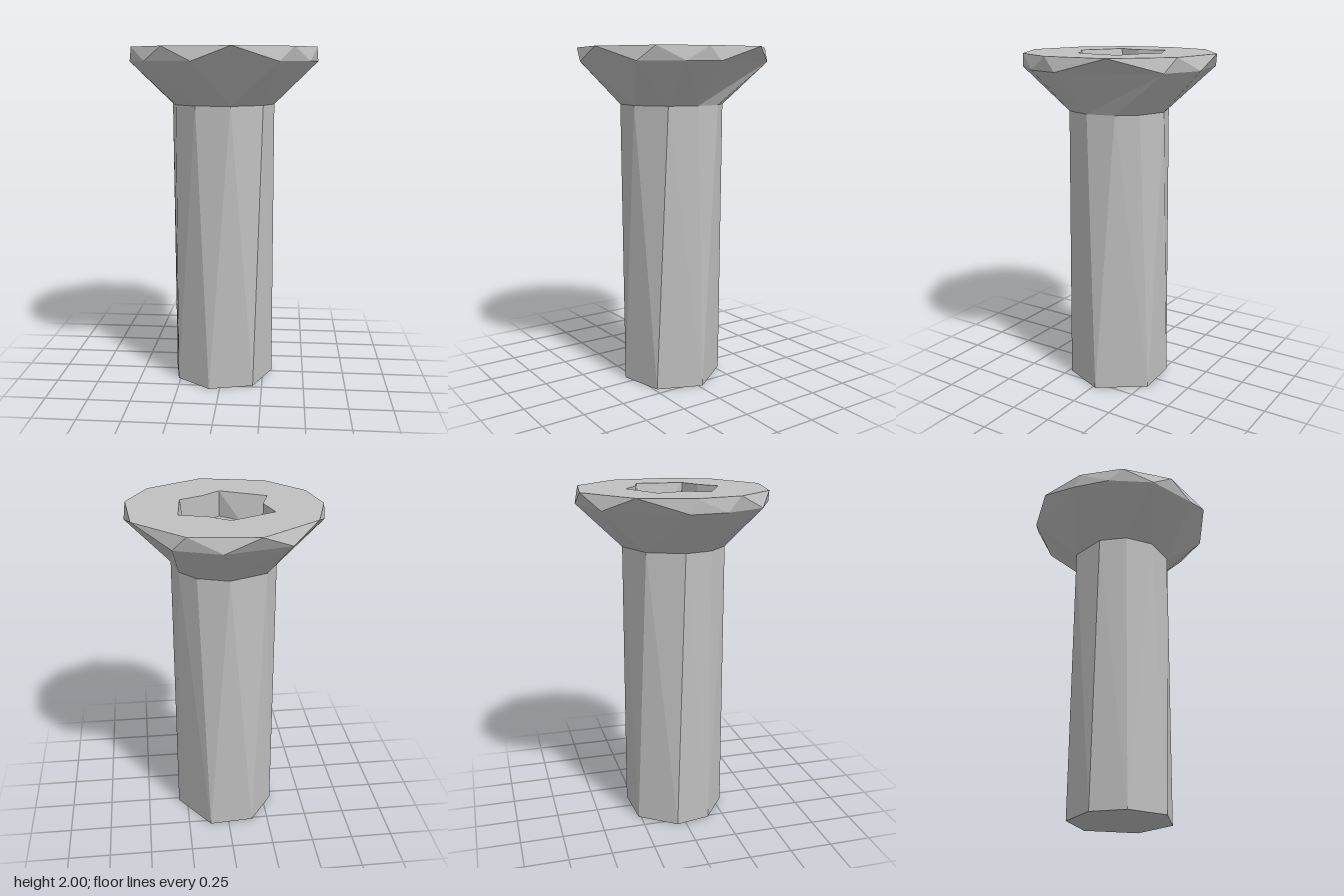
import * as THREE from 'three';

const angle = ([x, z]) => Math.atan2(z, x);
const sorted = (ring) => [...ring].sort((p, q) => angle(p) - angle(q));
const polar = (r, degrees) => degrees.map((d) => {
  const a = THREE.MathUtils.degToRad(d);
  return [r * Math.cos(a), r * Math.sin(a)];
});

// Facets between two rings with different corner counts, zipped by angle
function band(ringA, yA, ringB, yB) {
  const a = sorted(ringA), b = sorted(ringB), pos = [];
  const at = (ring, i, y) => [ring[i % ring.length][0], y, ring[i % ring.length][1]];
  const turn = (ring, i) => angle(ring[i % ring.length]) + (i >= ring.length ? Math.PI * 2 : 0);
  let i = 0, j = 0;
  while (i < a.length || j < b.length) {
    const stepA = j >= b.length || (i < a.length && turn(a, i + 1) <= turn(b, j + 1) + 1e-6);
    pos.push(...at(a, i, yA), ...at(b, j, yB));
    if (stepA) pos.push(...at(a, ++i, yA));
    else pos.push(...at(b, ++j, yB));
  }
  const g = new THREE.BufferGeometry();
  g.setAttribute('position', new THREE.Float32BufferAttribute(pos, 3));
  g.computeVertexNormals();
  return g;
}

// Flat horizontal face, facing up (1) or down (-1), with an optional hole
function cap(ring, y, facing, hole) {
  const points = (r) => r.map(([x, z]) => new THREE.Vector2(x, -z * facing));
  const shape = new THREE.Shape(points(ring));
  if (hole) shape.holes.push(new THREE.Path(points(hole)));
  return new THREE.ShapeGeometry(shape).rotateX(-facing * Math.PI / 2).translate(0, y, 0);
}

export function createModel() {
  const steel = new THREE.MeshStandardMaterial({ color: 0xc0c0c0, flatShading: true });
  steel.name = 'steel';

  const shankBottom = polar(0.305, [-4, 50, 102, 150, 190, 240, 292]);
  const shankTop = polar(0.302, [-28, 4, 37, 78, 117, 150, 182, 225, 270, 305]);
  const headEdge = [[0.06, -0.555], [0.31, -0.47], [0.55, 0.05], [0.5, 0.24], [0.33, 0.44],
    [-0.13, 0.53], [-0.4, 0.39], [-0.525, 0.15], [-0.55, -0.06], [-0.3, -0.47]];
  const headRim = [[-0.13, -0.555], [0.24, -0.51], [0.51, -0.25], [0.54, 0.12], [0.41, 0.37],
    [0.085, 0.55], [-0.295, 0.465], [-0.5, 0.23], [-0.55, -0.03], [-0.46, -0.32]];
  const socketRim = [[-0.01, -0.275], [0.11, -0.195], [0.26, -0.155], [0.237, 0.12], [0.11, 0.18],
    [0, 0.27], [-0.26, 0.145], [-0.215, 0], [-0.26, -0.155]];
  const socketBase = [[-0.01, -0.275], [0.11, -0.195], [0.225, -0.15], [0.215, 0], [0.237, 0.12],
    [0.11, 0.18], [0, 0.27], [-0.11, 0.18], [-0.235, 0.12], [-0.215, 0], [-0.26, -0.155], [-0.11, -0.195]];

  const group = new THREE.Group();
  group.name = 'countersunkScrew';
  const add = (name, geometry) => {
    const mesh = new THREE.Mesh(geometry, steel);
    mesh.name = name;
    group.add(mesh);
  };

  // Shank
  add('shankEnd', cap(shankBottom, 0, -1));
  add('shank', band(shankBottom, 0, shankTop, 1.675));
  // Countersunk head
  add('headCone', band(shankTop, 1.675, headEdge, 1.92));
  add('headRim', band(headEdge, 1.92, headRim, 2));
  add('headTop', cap(headRim, 2, 1, socketRim));
  // Star-shaped drive socket
  add('socketWall', band(socketRim, 2, socketBase, 1.85));
  add('socketFloor', cap(socketBase, 1.85, 1));
  return group;
}
